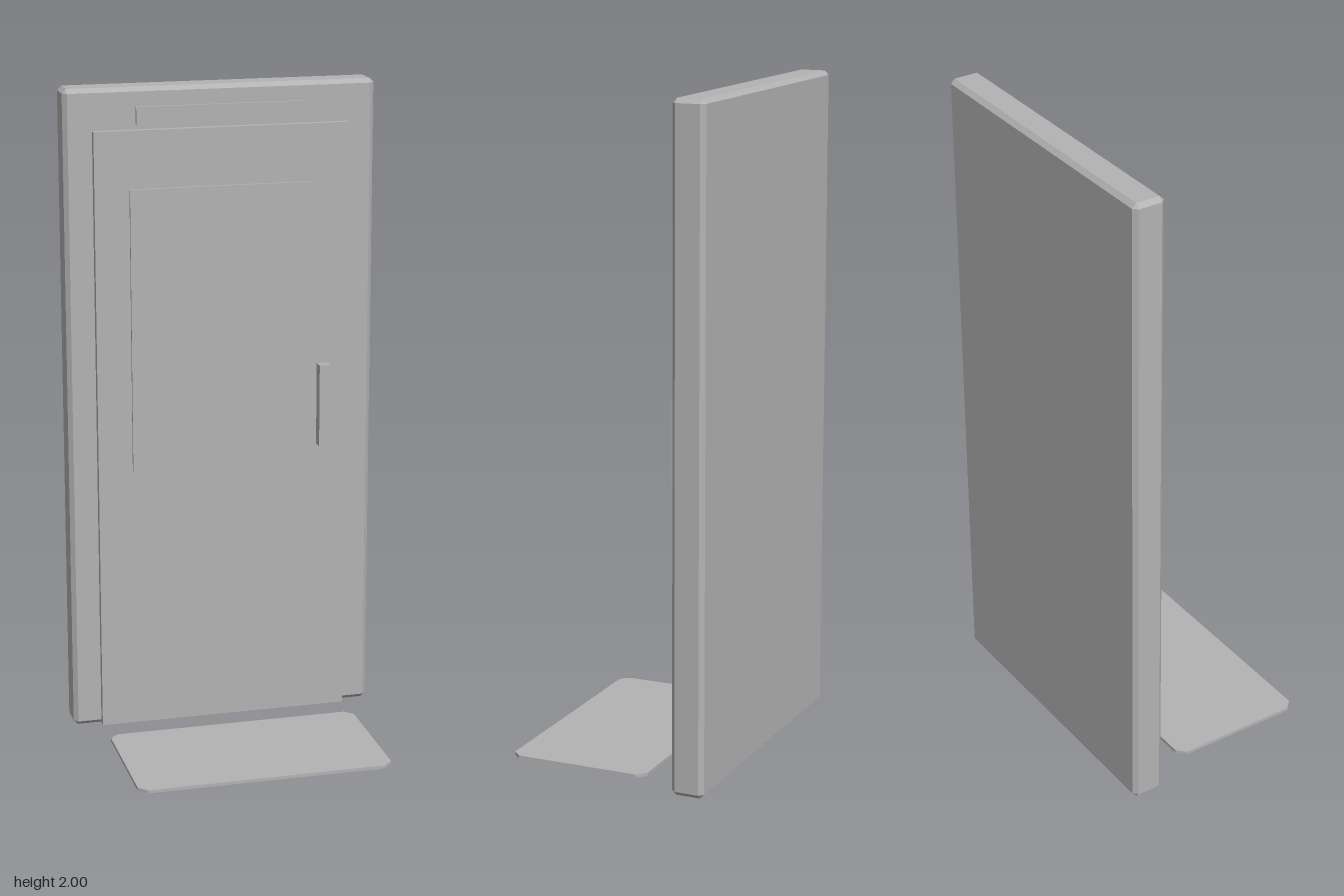
import * as THREE from 'three';
import { ConvexGeometry } from 'three/addons/geometries/ConvexGeometry.js';

const grey = new THREE.MeshStandardMaterial({ color: 0xb3b3b3 });
grey.name = 'plain grey';

function add(group, name, geometry, x, y, z) {
  const mesh = new THREE.Mesh(geometry, grey);
  mesh.name = name;
  mesh.position.set(x, y, z);
  group.add(mesh);
}

// Plain box given by its limits on each axis
function addBox(group, name, [x0, x1], [y0, y1], [z0, z1]) {
  add(group, name, new THREE.BoxGeometry(x1 - x0, y1 - y0, z1 - z0),
    (x0 + x1) / 2, (y0 + y1) / 2, (z0 + z1) / 2);
}

// Box with every edge and corner cut flat
function chamferedBox(w, h, d, c) {
  const points = [];
  for (const sx of [-1, 1]) for (const sy of [-1, 1]) for (const sz of [-1, 1]) {
    for (let axis = 0; axis < 3; axis++) {
      const p = [w / 2 - c, h / 2 - c, d / 2 - c];
      p[axis] += c;
      points.push(new THREE.Vector3(sx * p[0], sy * p[1], sz * p[2]));
    }
  }
  return new ConvexGeometry(points);
}

// Flat slab with its four corners cut, lying on the ground
function cutCornerSlab(w, d, h, c) {
  const x = w / 2, z = d / 2;
  const shape = new THREE.Shape([
    [x - c, -z], [x, -z + c], [x, z - c], [x - c, z],
    [-x + c, z], [-x, z - c], [-x, -z + c], [-x + c, -z],
  ].map(([a, b]) => new THREE.Vector2(a, b)));
  return new THREE.ExtrudeGeometry(shape, { depth: h, bevelEnabled: false }).rotateX(-Math.PI / 2);
}

export function createModel() {
  const group = new THREE.Group();
  group.name = 'doorWithMat';

  add(group, 'doorFrame', chamferedBox(0.956, 2, 0.1, 0.013), 0, 1, -0.28);
  addBox(group, 'doorPanel', [-0.392, 0.392], [0.002, 1.875], [-0.232, -0.208]);
  addBox(group, 'windowPane', [-0.286, 0.286], [0.83, 1.7], [-0.209, -0.199]);
  addBox(group, 'handle', [0.295, 0.329], [0.875, 1.133], [-0.201, -0.167]);
  addBox(group, 'signPlate', [-0.261, 0.261], [1.89, 1.943], [-0.224, -0.215]);
  add(group, 'floorMat', cutCornerSlab(0.784, 0.436, 0.01, 0.026), 0, 0, 0.112);

  return group;
}
